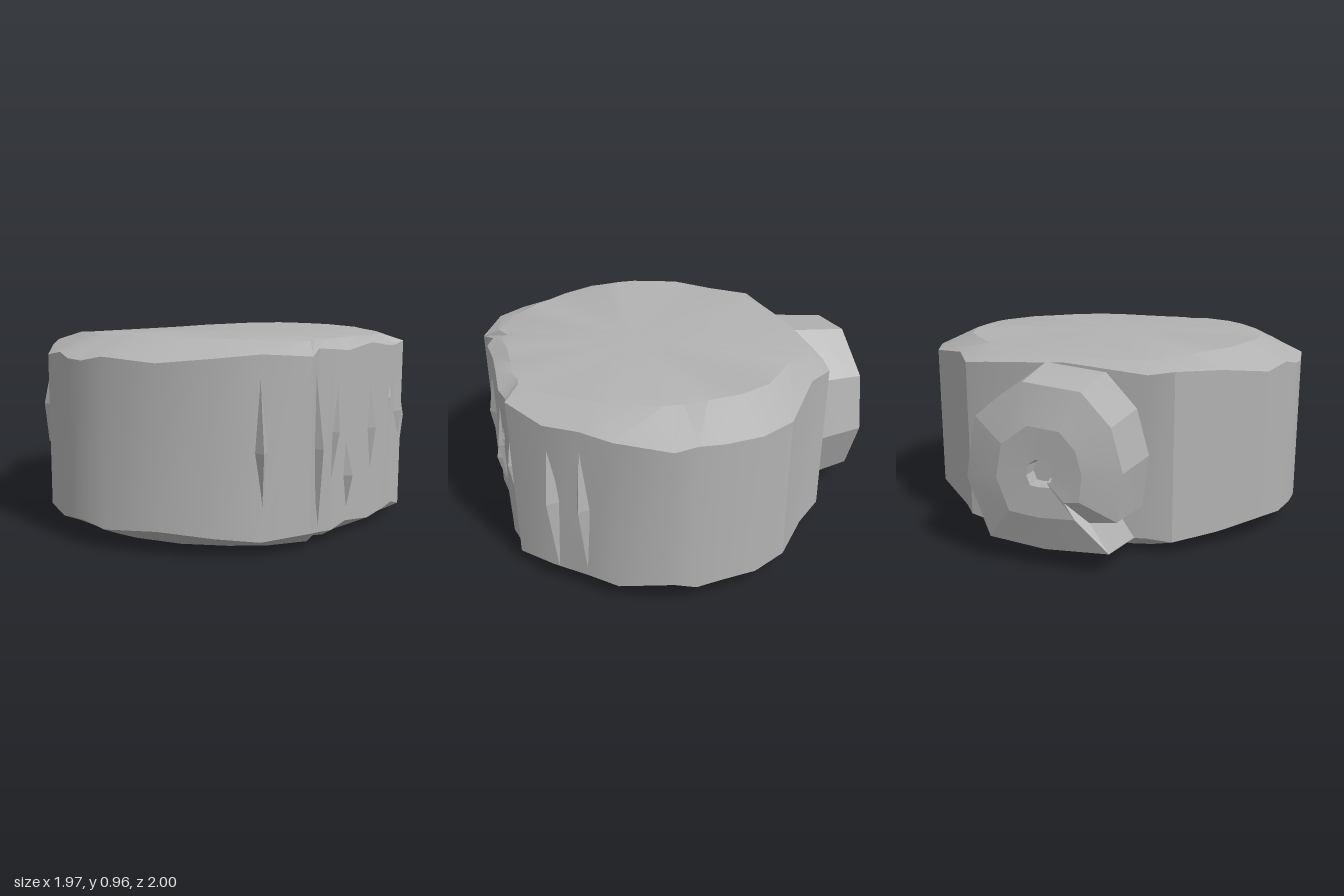
import * as THREE from 'three';
import { toCreasedNormals } from 'three/addons/utils/BufferGeometryUtils.js';

// Skin a stack of closed rings and cap both ends with a fan
function loft(rings, crease) {
  const n = rings[0].length;
  const pos = rings.flat().flat();
  const idx = [];
  for (let r = 0; r < rings.length - 1; r++) {
    for (let i = 0; i < n; i++) {
      const a = r * n + i, b = r * n + (i + 1) % n;
      idx.push(a, a + n, b, b, a + n, b + n);
    }
  }
  [0, rings.length - 1].forEach((r) => {
    const c = pos.length / 3;
    for (let k = 0; k < 3; k++) pos.push(rings[r].reduce((s, p) => s + p[k], 0) / n);
    for (let i = 0; i < n; i++) {
      const a = r * n + i, b = r * n + (i + 1) % n;
      if (r === 0) idx.push(c, a, b);
      else idx.push(c, b, a);
    }
  });
  const g = new THREE.BufferGeometry();
  g.setAttribute('position', new THREE.Float32BufferAttribute(pos, 3));
  g.setIndex(idx);
  return toCreasedNormals(g, crease);
}

export function createModel() {
  const group = new THREE.Group();
  const grey = new THREE.MeshStandardMaterial({ color: 0xb2b2b2 });
  grey.name = 'stone grey';
  const add = (name, geometry) => {
    const mesh = new THREE.Mesh(geometry, grey);
    mesh.name = name;
    group.add(mesh);
    return mesh;
  };

  // Plan outline of the drum as x, z
  const outline = [
    [0.1, -1], [0.22, -1], [0.32, -0.98], [0.56, -0.87], [0.68, -0.74], [0.82, -0.62],
    [0.95, -0.42], [0.94, -0.36], [0.96, -0.26], [0.95, -0.1], [0.94, 0.1], [0.95, 0.24],
    [0.91, 0.31], [0.95, 0.42], [0.83, 0.63], [0.68, 0.77], [0.47, 0.91], [0.22, 0.99],
    [0.1, 1], [0, 0.99], [-0.1, 0.95], [-0.26, 0.89], [-0.45, 0.7], [-0.62, 0.52],
    [-0.65, 0.4], [-0.65, 0], [-0.65, -0.42], [-0.63, -0.54], [-0.48, -0.65],
    [-0.26, -0.91], [-0.08, -0.99],
  ];
  const wobble = (i) => 0.015 * Math.sin(i * 2.3);
  const inset = (x, z) => [0.1 + (x - 0.1) * 0.91, z * 0.78];
  const slope = (x) => (x < 0 ? x * x * 0.09 : x * x * 0.025);
  const inner = (top) => outline.map(([x, z]) => {
    const [u, w] = inset(x, z);
    return [u, top ? 0.96 - slope(u) : slope(u) * 0.6, w];
  });
  const rim = (top) => outline.map(([x, z], i) => [
    x, top ? 0.9 - 0.04 * z * z + wobble(i) : 0.06 + 0.05 * z * z - wobble(i), z,
  ]);
  add('drumBody', loft([inner(false), rim(false), rim(true), inner(true)], 0.4));

  // Side knob, section as z, y
  const section = [
    [-0.1, 0.91], [0.2, 0.88], [0.35, 0.72], [0.41, 0.5], [0.38, 0.25], [0.24, 0.23],
    [0.34, 0.08], [0, 0.06], [-0.3, 0.09], [-0.42, 0.4], [-0.36, 0.72],
  ];
  const ring = (x, s) => section.map(([z, y]) => [x, 0.47 + (y - 0.47) * s, z * s]);
  // The last two rings sink a small socket into the end face
  add('sideKnob', loft([
    ring(-0.5, 1), ring(-0.66, 1), ring(-0.94, 0.92),
    ring(-0.99, 0.5), ring(-0.985, 0.15), ring(-0.92, 0.13),
  ], 0.2));

  // Uneven upright ridges on the side opposite the knob: x, y, z, height, lean
  const ridges = [
    [0.92, 0.46, 0.33, 0.74, 0.06], [0.93, 0.52, 0.22, 0.66, -0.1],
    [0.93, 0.3, 0.1, 0.4, 0.05], [0.93, 0.5, -0.1, 0.7, 0.03],
    [0.92, 0.63, -0.26, 0.5, -0.12], [0.92, 0.55, -0.38, 0.6, 0.08],
    [0.8, 0.48, -0.64, 0.75, 0.08], [0.68, 0.48, -0.74, 0.7, 0.03],
    [0.82, 0.47, 0.62, 0.74, 0.03],
  ];
  const ridgeShape = new THREE.OctahedronGeometry(1);
  ridges.forEach(([x, y, z, h, lean], i) => {
    const ridge = add('sideRidge' + (i + 1), ridgeShape);
    ridge.position.set(x, y, z);
    ridge.scale.set(0.05, h / 2, 0.035);
    ridge.rotation.set(lean, -Math.atan2(z, x), 0);
  });
  return group;
}
